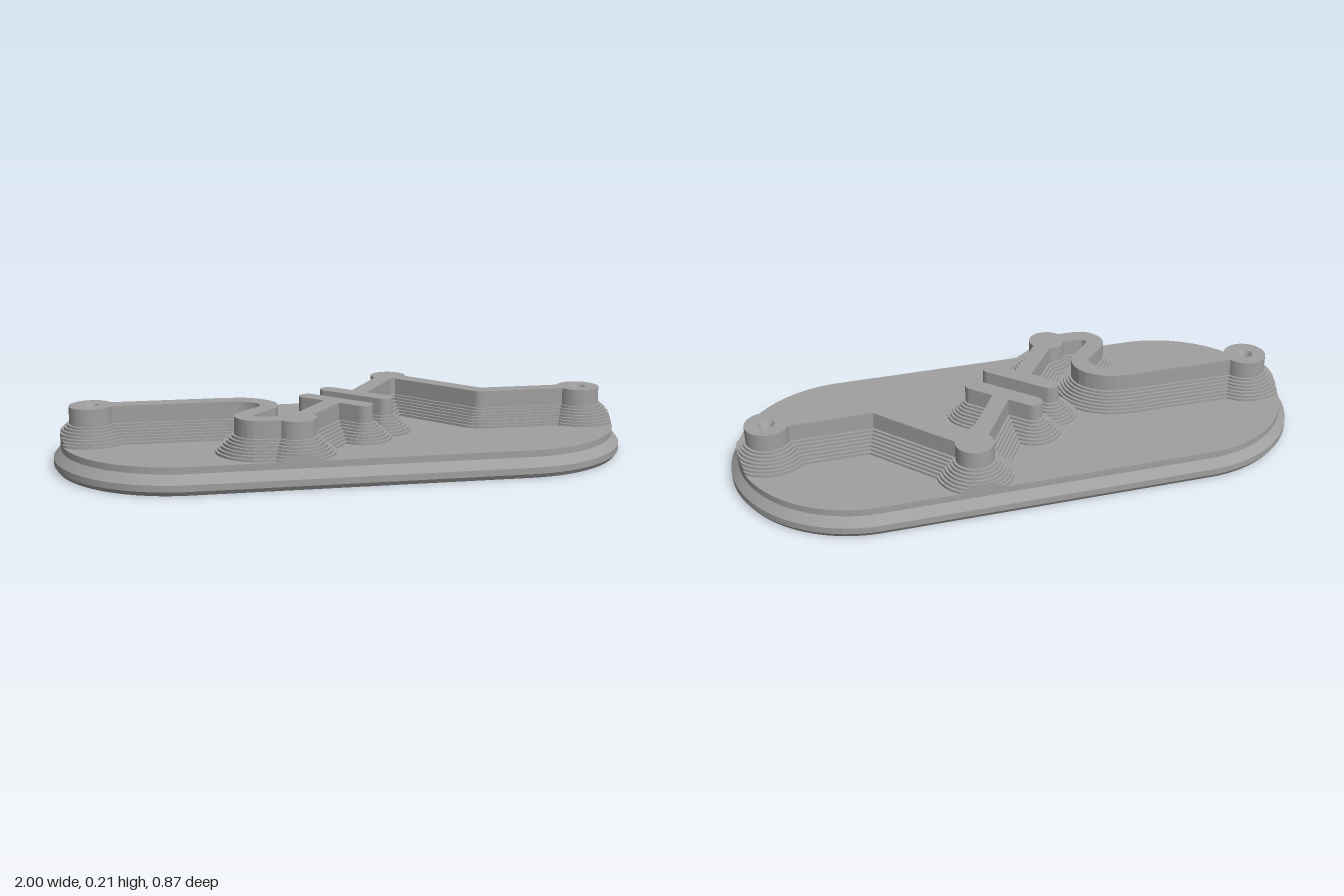
import * as THREE from 'three';
import { mergeGeometries, toCreasedNormals } from 'three/addons/utils/BufferGeometryUtils.js';

const CORE = 0.565;      // half length of the base's straight sides
const TOP_R = 0.41;      // end radius of the base's top face
const BASE_TOP = 0.09, STEP_TOP = 0.15, TRACK_TOP = 0.21;
const HALF = 0.031;      // half width of the raised track

// Rounded outline of radius r around the segment p-q, in (x, z)
function capsule(p, q, r, n = 12) {
  const a = Math.atan2(q[1] - p[1], q[0] - p[0]);
  const pts = [];
  [[q, -0.5], [p, 0.5]].forEach(([c, start]) => {
    for (let i = 0; i <= n; i++) {
      const t = a + (start + i / n) * Math.PI;
      pts.push(new THREE.Vector2(c[0] + r * Math.cos(t), c[1] + r * Math.sin(t)));
    }
  });
  return pts;
}

// Keep an outline inside the top face of the base
function clip(pts) {
  for (const p of pts) {
    const cx = THREE.MathUtils.clamp(p.x, -CORE, CORE);
    const d = Math.hypot(p.x - cx, p.y);
    if (d > TOP_R) {
      p.x = cx + (p.x - cx) * TOP_R / d;
      p.y *= TOP_R / d;
    }
  }
  return pts;
}

function slab(pts, y0, y1) {
  const g = new THREE.ExtrudeGeometry(new THREE.Shape(pts), { depth: y1 - y0, bevelEnabled: false });
  return g.rotateX(Math.PI / 2).translate(0, y1, 0);
}

function lathe(profile, segments = 40, phi = 0) {
  return new THREE.LatheGeometry(profile.map(([r, y]) => new THREE.Vector2(r, y)), segments, phi);
}

export function createModel() {
  const group = new THREE.Group();
  const grey = new THREE.MeshStandardMaterial({ color: 0xa0a0a0 });
  grey.name = 'grey';
  const add = (name, geometry) => {
    const mesh = new THREE.Mesh(geometry, grey);
    mesh.name = name;
    group.add(mesh);
    return mesh;
  };

  // Base: a turned profile pulled apart along x
  const n = 96;
  const base = lathe([[0.425, 0], [0.435, 0.015], [0.435, 0.037], [TOP_R, 0.067],
    [TOP_R, BASE_TOP], [1e-6, BASE_TOP]], n, Math.PI / n);
  const pos = base.attributes.position;
  for (let i = 0; i < pos.count; i++) pos.setX(i, pos.getX(i) + Math.sign(pos.getX(i)) * CORE);
  add('base', toCreasedNormals(base, 0.4));

  // Underside with a shallow round recess
  const recess = { x: 0.53, z: 0.23, r: 0.05, depth: 0.03 };
  const under = new THREE.Shape(capsule([-CORE, 0], [CORE, 0], 0.425, 48));
  under.holes.push(new THREE.Path().absarc(recess.x, recess.z, recess.r, 0, Math.PI * 2, true));
  add('underside', new THREE.ShapeGeometry(under, 32).rotateX(Math.PI / 2));
  add('recess', toCreasedNormals(lathe([[0, recess.depth], [recess.r, recess.depth], [recess.r, 0]]), 0.5))
    .position.set(recess.x, 0, recess.z);

  // Track: straight runs, an S bend and two facing plates
  const bend = new THREE.CatmullRomCurve3([
    [-0.41, 0.003], [-0.335, 0.017], [-0.278, 0.07], [-0.278, 0.13], [-0.335, 0.19],
    [-0.375, 0.245], [-0.352, 0.292], [-0.3, 0.303], [-0.205, 0.3],
  ].map(([x, z]) => new THREE.Vector3(x, 0, z))).getPoints(28).map(v => [v.x, v.z]);
  const segments = [
    [[-0.81, 0], bend[0]],
    [[-0.205, 0.3], [-0.036, 0.07]],
    [[-0.12, -0.012], [0.048, 0.152]],   // lower plate
    [[-0.03, -0.108], [0.138, 0.056]],   // upper plate
    [[0.056, -0.026], [0.23, -0.305]],
    [[0.23, -0.305], [0.5, 0]],
    [[0.5, 0], [0.805, 0]],
  ];
  for (let i = 1; i < bend.length; i++) segments.push([bend[i - 1], bend[i]]);

  // Round pads: joints on the track and posts at its ends
  const joints = [[-0.205, 0.3, 0.065], [0.23, -0.305, 0.065]];
  const posts = [[-0.868, 0, 0.075], [0.868, 0, 0.075]];
  const disc = ([x, z, r], offset) => capsule([x, z], [x + 1e-4, z], r + offset, 20);

  add('track', mergeGeometries([
    ...segments.map(([p, q]) => slab(capsule(p, q, HALF), STEP_TOP - 0.01, TRACK_TOP)),
    ...joints.map(j => slab(disc(j, 0), STEP_TOP - 0.01, TRACK_TOP)),
  ]));

  // Terminal posts with countersunk holes
  for (const [x, z, r] of posts) {
    const g = lathe([[r, STEP_TOP - 0.01], [r, TRACK_TOP], [0.027, TRACK_TOP], [0.009, 0.18], [0, 0.18]]);
    add(x > 0 ? 'leftPost' : 'rightPost', toCreasedNormals(g, 0.5)).position.set(x, 0, z);
  }

  // Terraced steps spreading down from the track to the base
  const steps = 7;
  for (let k = 1; k <= steps; k++) {
    const offset = 0.0093 * k;
    const top = STEP_TOP - (STEP_TOP - BASE_TOP) * (k - 1) / steps;
    add('step' + k, mergeGeometries([
      ...segments.map(([p, q]) => slab(clip(capsule(p, q, HALF + offset)), BASE_TOP, top)),
      ...[...joints, ...posts].map(j => slab(clip(disc(j, offset)), BASE_TOP, top)),
    ]));
  }

  return group;
}
